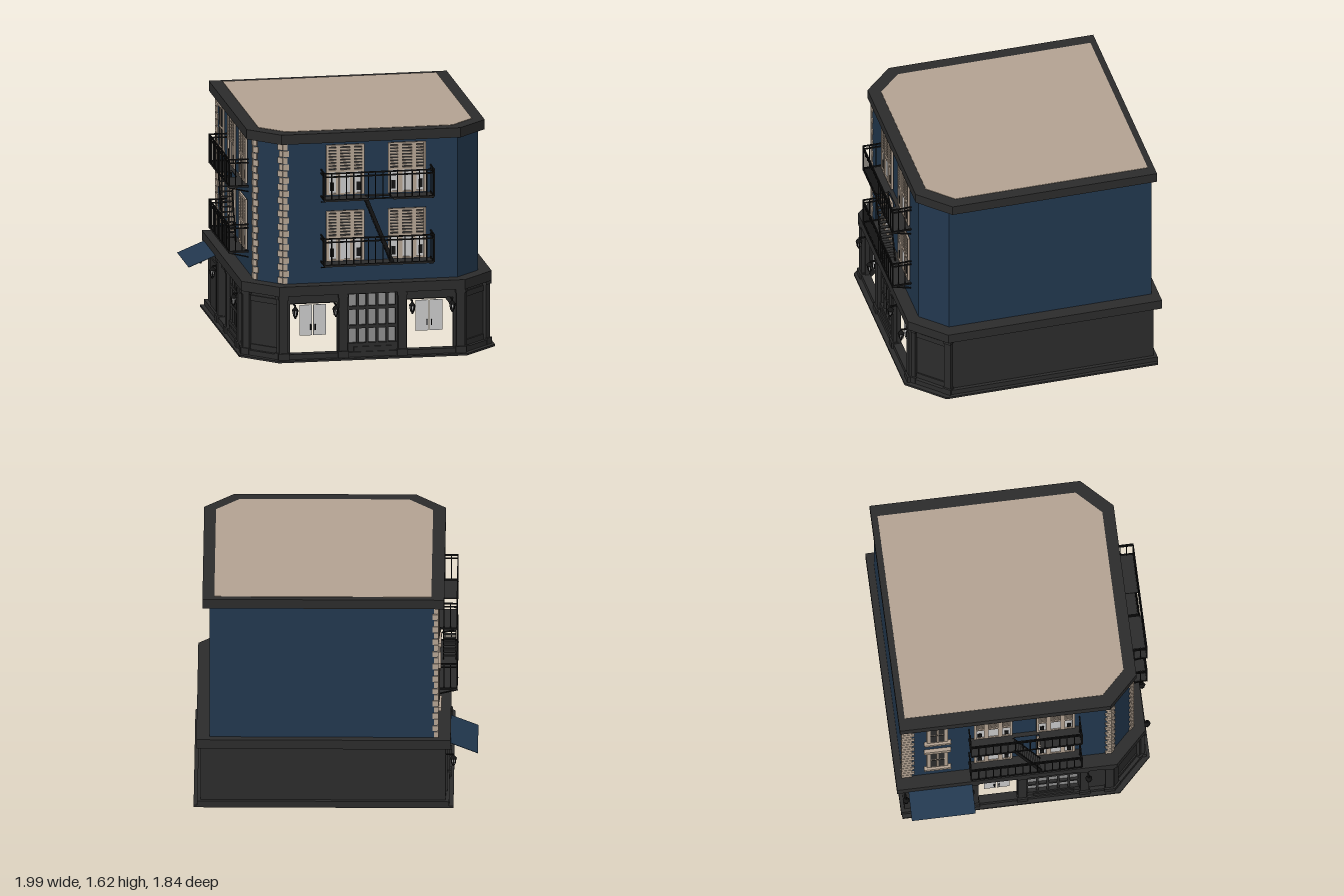
import * as THREE from 'three';

const mat = (name, color) => Object.assign(new THREE.MeshStandardMaterial({ color, side: THREE.DoubleSide }), { name });

export function createModel() {
  const model = new THREE.Group();
  model.name = 'cornerBuilding';
  const wall = mat('navy wall', 0x22384f);
  const trim = mat('charcoal trim', 0x2c2c2c);
  const stone = mat('beige stone', 0xb5a493);
  const iron = mat('black iron', 0x141414);
  const pale = mat('pale glass', 0xcacaca);
  const grey = mat('grey glass', 0x8e8e8e);

  // A facade group: local x runs from A towards B, local z points outwards
  const face = (name, ax, az, bx, bz) => {
    const g = new THREE.Group();
    g.name = name;
    g.position.set(ax, 0, az);
    g.rotation.y = Math.atan2(az - bz, bx - ax);
    g.userData.length = Math.hypot(bx - ax, bz - az);
    model.add(g);
    return g;
  };
  const box = (g, name, m, x0, x1, y0, y1, z0, z1) => {
    const mesh = new THREE.Mesh(new THREE.BoxGeometry(x1 - x0, y1 - y0, z1 - z0), m);
    mesh.position.set((x0 + x1) / 2, (y0 + y1) / 2, (z0 + z1) / 2);
    mesh.name = name;
    g.add(mesh);
    return mesh;
  };
  // Straight bar between two points
  const bar = (g, name, m, a, b, w, depth) => {
    const p = new THREE.Vector3(...a), q = new THREE.Vector3(...b);
    const mesh = new THREE.Mesh(new THREE.BoxGeometry(w, depth, p.distanceTo(q)), m);
    mesh.position.copy(p).add(q).multiplyScalar(0.5);
    mesh.lookAt(q);
    mesh.name = name;
    g.add(mesh);
  };

  // Footprint: rectangle with both front corners cut off
  const plan = (x0, x1, z0, z1, c) =>
    [[x0, z0], [x1, z0], [x1, z1 - c], [x1 - c, z1], [x0 + c, z1], [x0, z1 - c]].map(([x, z]) => new THREE.Vector2(x, -z));
  const slab = (name, m, outer, y0, y1, inner) => {
    const shape = new THREE.Shape(outer);
    if (inner) shape.holes.push(new THREE.Path(inner));
    const geo = new THREE.ExtrudeGeometry(shape, { depth: y1 - y0, bevelEnabled: false });
    geo.rotateX(-Math.PI / 2).translate(0, y0, 0);
    const mesh = new THREE.Mesh(geo, m);
    mesh.name = name;
    model.add(mesh);
  };
  const innerPlan = plan(-0.69, 0.855, -0.85, 0.755, 0.17);
  slab('upperWalls', wall, plan(-0.715, 0.877, -0.87, 0.775, 0.175), 0.5, 1.56, innerPlan);
  slab('roofCornice', trim, plan(-0.765, 0.928, -0.895, 0.8, 0.21), 1.55, 1.62);
  slab('roofSurface', stone, plan(-0.675, 0.845, -0.85, 0.715, 0.168), 1.62, 1.623);
  slab('shopCornice', trim, plan(-0.81, 0.97, -0.92, 0.862, 0.23), 0.47, 0.54, innerPlan);
  slab('plinth', trim, plan(-0.8, 0.965, -0.89, 0.855, 0.23), 0, 0.05, plan(-0.74, 0.905, -0.83, 0.795, 0.22));
  slab('doorstep', trim, plan(-0.83, 0.99, -0.885, 0.89, 0.24), 0, 0.014, plan(-0.74, 0.905, -0.83, 0.795, 0.22));

  // Plain ground walls at the right and back
  const rightGround = face('rightGroundWall', 0.94, 0.6, 0.94, -0.865);
  box(rightGround, 'panel', trim, 0, 1.465, 0, 0.48, -0.03, 0);
  const backGround = face('backGroundWall', 0.94, -0.865, -0.775, -0.865);
  box(backGround, 'panel', trim, 0, 1.715, 0, 0.48, -0.03, 0);

  const pilaster = (g, u, w = 0.06) => {
    box(g, 'pilaster', trim, u - w / 2, u + w / 2, 0, 0.47, -0.02, 0.025);
    box(g, 'pilasterBase', trim, u - w / 2 - 0.008, u + w / 2 + 0.008, 0, 0.06, -0.02, 0.038);
    box(g, 'pilasterCap', trim, u - w / 2 - 0.006, u + w / 2 + 0.006, 0.445, 0.47, -0.02, 0.033);
  };

  // Panelled ground corners
  for (const [name, ax, az, bx, bz] of [['leftCorner', 0.71, 0.83, 0.94, 0.6], ['rightCorner', -0.775, 0.6, -0.545, 0.83]]) {
    const g = face(name, ax, az, bx, bz), L = g.userData.length;
    box(g, 'panel', trim, 0, L, 0, 0.48, -0.03, 0);
    box(g, 'topRail', trim, 0.05, L - 0.05, 0.4, 0.44, 0, 0.01);
    box(g, 'bottomRail', trim, 0.05, L - 0.05, 0.05, 0.09, 0, 0.01);
    pilaster(g, 0.02, 0.05);
    pilaster(g, L - 0.02, 0.05);
  }

  const lantern = (g, u) => {
    const part = (name, m, r0, r1, h, y) => {
      const mesh = new THREE.Mesh(new THREE.CylinderGeometry(r0, r1, h, 6), m);
      mesh.position.set(u, y, 0.055);
      mesh.name = name;
      g.add(mesh);
    };
    part('lanternCap', iron, 0.006, 0.026, 0.025, 0.388);
    part('lanternGlass', pale, 0.017, 0.011, 0.04, 0.355);
    part('lanternBase', iron, 0.014, 0.006, 0.02, 0.326);
    for (let i = 0; i < 6; i++) {
      const c = Math.cos(i * Math.PI / 3), s = Math.sin(i * Math.PI / 3);
      bar(g, 'lanternRib', iron, [u + c * 0.012, 0.333, 0.055 + s * 0.012], [u + c * 0.02, 0.378, 0.055 + s * 0.02], 0.006, 0.006);
    }
    box(g, 'lanternBracket', iron, u - 0.005, u + 0.005, 0.4, 0.41, 0, 0.058);
  };

  // Shop front: solid wall between openings, filled by door panels or a glazed grid
  const shopFront = (g, u0, u1, openings) => {
    let u = u0;
    for (const [a, b, kind] of openings) {
      box(g, 'pier', trim, u, a, 0, 0.48, -0.03, 0);
      u = b;
      if (kind === 'door') {
        box(g, 'lintel', trim, a, b, 0.41, 0.48, -0.03, 0);
        const c = (a + b) / 2, w = Math.min(0.095, (b - a) * 0.32);
        for (const s of [-1, 1]) {
          box(g, 'doorGlass', pale, c + (s > 0 ? 0.004 : -w), c + (s > 0 ? w : -0.004), 0.17, 0.39, -0.04, -0.034);
          box(g, 'doorHandle', iron, c + s * 0.016 - 0.004, c + s * 0.016 + 0.004, 0.21, 0.25, -0.034, -0.022);
        }
      } else {
        box(g, 'glazing', grey, a, b, 0.1, 0.47, -0.025, -0.02);
        box(g, 'stallRiser', trim, a, b, 0, 0.11, -0.03, 0.008);
        box(g, 'stallPanel', trim, a + 0.04, b - 0.04, 0.03, 0.085, 0, 0.016);
        for (const y of [0.225, 0.361, 0.472]) box(g, 'transom', trim, a, b, y - 0.012, y + 0.012, -0.03, 0);
        for (let i = 0; i <= 5; i++) {
          const x = a + (b - a) * i / 5;
          box(g, 'mullion', trim, x - 0.009, x + 0.009, 0.1, 0.47, -0.03, 0);
        }
      }
    }
    box(g, 'pier', trim, u, u1, 0, 0.48, -0.03, 0);
  };
  const frontShop = face('frontShop', 0, 0.83, 1, 0.83);
  shopFront(frontShop, -0.545, 0.71, [[-0.5, -0.165, 'door'], [-0.09, 0.26, 'grid'], [0.33, 0.66, 'door']]);
  [-0.55, -0.125, 0.295, 0.71].forEach(u => pilaster(frontShop, u));
  [-0.473, -0.185, 0.36, 0.645].forEach(u => lantern(frontShop, u));
  const sideShop = face('sideShop', -0.775, 0, -0.775, 1);
  shopFront(sideShop, -0.865, 0.6, [[-0.35, -0.07, 'door'], [0.0, 0.37, 'grid']]);
  [-0.375, -0.035, 0.405, 0.58].forEach(u => pilaster(sideShop, u));
  [-0.86, -0.4, 0.43].forEach(u => lantern(sideShop, u));
  box(sideShop, 'sideDoor', trim, -0.72, -0.5, 0.05, 0.39, 0, 0.01);

  // Awning sheet with thin front rod
  bar(sideShop, 'awning', wall, [-0.615, 0.482, 0.035], [-0.615, 0.405, 0.225], 0.45, 0.003);

  // Shuttered double windows
  const tallWindow = (g, u, y) => {
    const w = 0.135, h = 0.36;
    box(g, 'windowBack', trim, u - w, u + w, y, y + h, 0, 0.004);
    box(g, 'windowGlass', pale, u - w + 0.01, u + w - 0.01, y + 0.01, y + 0.17, 0.004, 0.007);
    for (const [a, b] of [[-w, -w + 0.017], [-0.066, -0.034], [0.034, 0.066], [w - 0.017, w]])
      box(g, 'windowStile', stone, u + a, u + b, y, y + h, 0.004, 0.016);
    for (const [a, b] of [[0, 0.012], [0.165, 0.18], [h - 0.014, h]])
      box(g, 'windowRail', stone, u - w, u + w, y + a, y + b, 0.004, 0.015);
    for (let i = 0; i < 7; i++)
      box(g, 'louvre', stone, u - w, u + w, y + 0.193 + i * 0.022, y + 0.203 + i * 0.022, 0.004, 0.011);
    for (const s of [-0.095, 0.095]) box(g, 'latch', iron, u + s - 0.014, u + s + 0.014, y + 0.03, y + 0.09, 0.007, 0.013);
  };
  // Narrow sash windows with sill and header
  const sashWindow = (g, u, y) => {
    box(g, 'sashFrame', stone, u - 0.075, u + 0.075, y, y + 0.36, 0, 0.012);
    for (const v of [0.04, 0.185]) {
      box(g, 'sashGlass', trim, u - 0.05, u + 0.05, y + v, y + v + 0.125, 0.012, 0.015);
      box(g, 'sashBar', stone, u - 0.006, u + 0.006, y + v, y + v + 0.125, 0.012, 0.018);
    }
    box(g, 'sill', stone, u - 0.095, u + 0.095, y - 0.005, y + 0.022, 0, 0.03);
    box(g, 'header', stone, u - 0.095, u + 0.095, y + 0.325, y + 0.362, 0, 0.026);
  };

  // Fire escape: two balconies joined by a steep stair
  const D = 0.14, H = 0.39;
  const fireEscape = (g, c) => {
    for (const y of [0.69, 1.16]) {
      const top = y + 0.195;
      if (y < 1) box(g, 'balconyFloor', trim, c - H, c + H, y - 0.008, y, 0, D);
      else {
        box(g, 'balconyFloor', trim, c - H, c - 0.075, y - 0.008, y, 0, D);
        box(g, 'balconyFloor', trim, c + 0.1, c + H, y - 0.008, y, 0, D);
        box(g, 'balconyFloor', trim, c - 0.075, c + 0.1, y - 0.008, y, 0, 0.03);
      }
      for (const v of [top, top - 0.025, y + 0.004]) {
        box(g, 'frontRail', iron, c - H, c + H, v - 0.005, v + 0.005, D - 0.008, D);
        for (const s of [-H, H]) box(g, 'sideRail', iron, c + s - 0.004, c + s + 0.004, v - 0.005, v + 0.005, 0, D);
      }
      for (let i = 0; i <= 15; i++) {
        const x = c - H + 2 * H * i / 15, r = i % 15 ? 0.0035 : 0.006;
        box(g, 'baluster', iron, x - r, x + r, y, top, D - 0.008, D - 0.001);
      }
      for (const s of [-H + 0.005, H - 0.005]) {
        for (const z of [0.045, 0.09]) box(g, 'sideBaluster', iron, c + s - 0.003, c + s + 0.003, y, top, z - 0.003, z + 0.003);
        bar(g, 'bracket', iron, [c + s, y - 0.006, D], [c + s, y - 0.04, 0], 0.01, 0.008);
      }
    }
    for (const z of [0.037, 0.125]) bar(g, 'stairStringer', iron, [c - 0.09, 1.16, z], [c + 0.1, 0.69, z], 0.008, 0.024);
    for (let i = 1; i < 14; i++) {
      const x = c - 0.09 + 0.19 * i / 14, y = 1.16 - 0.47 * i / 14;
      box(g, 'stairTread', trim, x - 0.014, x + 0.014, y - 0.003, y + 0.003, 0.037, 0.125);
    }
  };
  const frontUpper = face('frontUpper', 0, 0.775, 1, 0.775);
  const sideUpper = face('sideUpper', -0.715, 0, -0.715, 1);
  for (const [g, c] of [[frontUpper, 0.12], [sideUpper, -0.012]]) {
    for (const y of [0.695, 1.17]) for (const s of [-0.22, 0.22]) tallWindow(g, c + s, y);
    fireEscape(g, c);
  }
  for (const y of [0.68, 1.175]) sashWindow(sideUpper, -0.625, y);

  // Corner stones in alternating lengths
  const cornerUpper = face('cornerUpper', -0.715, 0.6, -0.54, 0.775), CL = cornerUpper.userData.length;
  const backUpper = face('backUpper', 0.877, -0.87, -0.715, -0.87);
  for (let i = 0; i < 21; i++) {
    const y0 = 0.545 + i * 0.048, y1 = y0 + 0.042, a = i % 2 ? 0.04 : 0.028, t = 0.009;
    box(frontUpper, 'quoin', stone, -0.543, -0.54 + a, y0, y1, 0, t);
    box(cornerUpper, 'quoin', stone, CL - 0.068 + a, CL + 0.003, y0, y1, 0, t);
    box(cornerUpper, 'quoin', stone, -0.003, a, y0, y1, 0, t);
    box(sideUpper, 'quoin', stone, 0.532 + a, 0.603, y0, y1, 0, t);
    box(sideUpper, 'quoin', stone, -0.879, -0.85 + a * 1.6, y0, y1, 0, t);
    box(backUpper, 'quoin', stone, 1.592 - a * 0.8, 1.6, y0, y1, 0, t);
  }
  return model;
}
